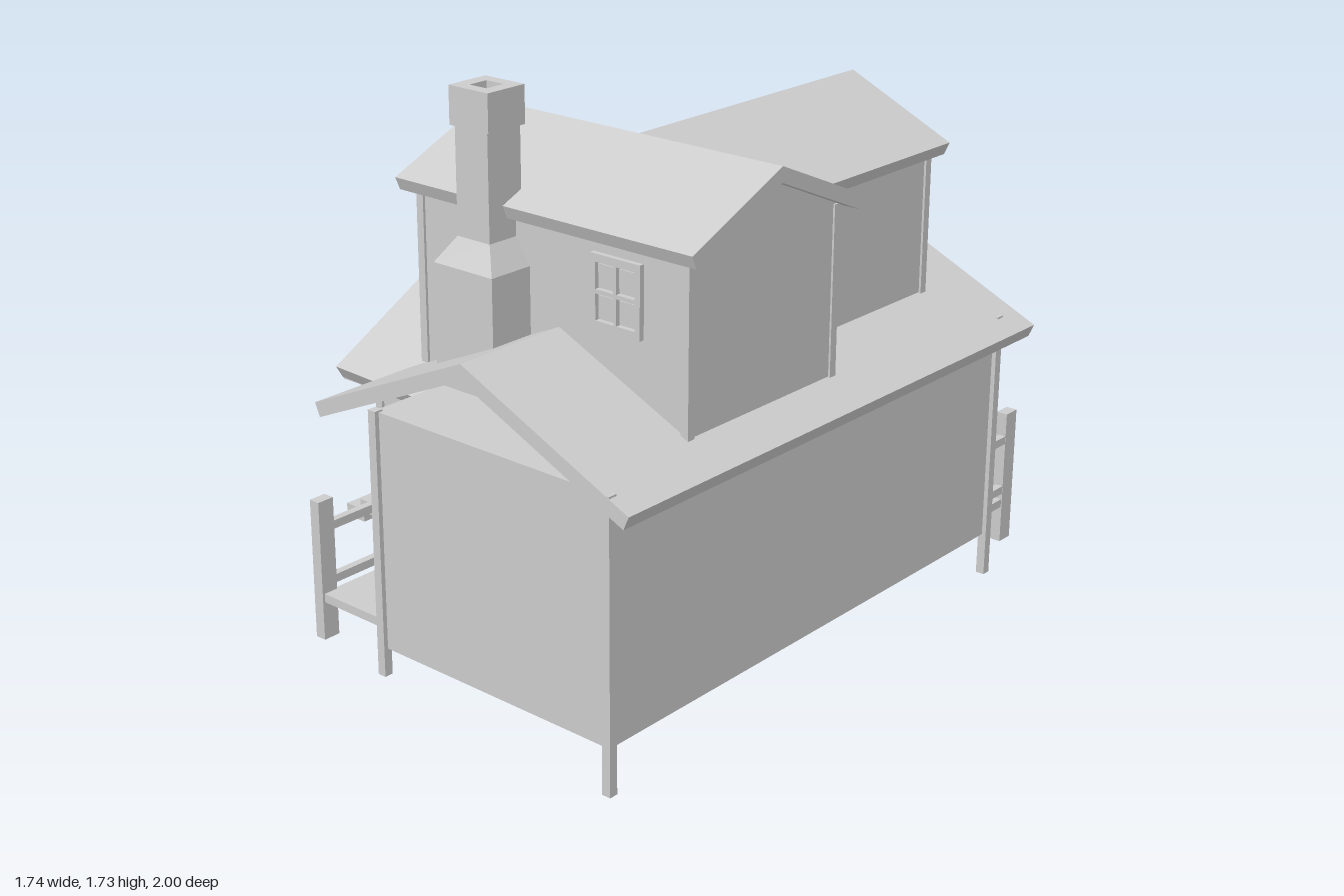
import * as THREE from 'three';

const mat = new THREE.MeshStandardMaterial({ color: 0xcccccc, flatShading: true, side: THREE.DoubleSide });

function add(parent, name, geometry) {
  const m = new THREE.Mesh(geometry, mat);
  m.name = name;
  parent.add(m);
  return m;
}

// Box given by its limits on each axis
function box(parent, name, x0, x1, y0, y1, z0, z1) {
  const m = add(parent, name, new THREE.BoxGeometry(x1 - x0, y1 - y0, z1 - z0));
  m.position.set((x0 + x1) / 2, (y0 + y1) / 2, (z0 + z1) / 2);
  return m;
}

function extrude(points, depth) {
  const shape = new THREE.Shape(points.map(([x, y]) => new THREE.Vector2(x, y)));
  return new THREE.ExtrudeGeometry(shape, { depth, bevelEnabled: false });
}

// Bent roof slab: ridge along local z, ridge top at the local origin
function gableRoof(parent, name, halfWidth, drop, thick, length) {
  const a = Math.atan2(drop, halfWidth);
  const ex = halfWidth - thick * Math.sin(a);
  const ey = -drop - thick * Math.cos(a);
  return add(parent, name, extrude([
    [0, 0], [-halfWidth, -drop], [-ex, ey], [0, -thick / Math.cos(a)], [ex, ey], [halfWidth, -drop],
  ], length));
}

// Wall block with a pointed gable at both ends, along local z
function gableWalls(parent, name, halfWidth, bottom, eave, apex, length) {
  return add(parent, name, extrude([
    [-halfWidth, bottom], [halfWidth, bottom], [halfWidth, eave], [0, apex], [-halfWidth, eave],
  ], length));
}

function rectPath(x, y, w, h) {
  const p = new THREE.Path();
  p.moveTo(x - w / 2, y - h / 2);
  p.lineTo(x - w / 2, y + h / 2);
  p.lineTo(x + w / 2, y + h / 2);
  p.lineTo(x + w / 2, y - h / 2);
  p.closePath();
  return p;
}

// Four-pane window facing local +z
function addWindow(parent, x, y, z, turn) {
  const g = new THREE.Group();
  g.name = 'window';
  const w = 0.175, h = 0.21;
  const frame = new THREE.Shape([
    new THREE.Vector2(-w / 2, -h / 2), new THREE.Vector2(w / 2, -h / 2),
    new THREE.Vector2(w / 2, h / 2), new THREE.Vector2(-w / 2, h / 2),
  ]);
  for (const i of [-1, 1]) for (const j of [-1, 1]) {
    frame.holes.push(rectPath(i * 0.037, j * 0.044, 0.064, 0.076));
    box(g, 'windowPane', i * 0.037 - 0.027, i * 0.037 + 0.027, j * 0.044 - 0.033, j * 0.044 + 0.033, -0.005, 0.009);
  }
  add(g, 'windowFrame', new THREE.ExtrudeGeometry(frame, { depth: 0.016, bevelEnabled: false }));
  g.position.set(x, y, z);
  g.rotation.y = turn;
  parent.add(g);
}

function lowerStorey(g) {
  box(g, 'lowerWalls', -0.075, 0.785, 0.135, 0.855, -0.785, 0.985);
  gableRoof(g, 'lowerRoof', 0.583, 0.26, 0.044, 1.87).position.set(0.282, 1.085, -0.87);
  // corner posts run down as stilts
  for (const [x, z, foot] of [[-0.07, 0.985, 0.05], [0.785, 0.985, 0], [-0.07, -0.782, 0.04], [0.785, -0.782, 0]])
    box(g, 'cornerPost', x - 0.014, x + 0.014, foot, 0.86, z - 0.014, z + 0.014);
  for (const x of [0.097, 0.487]) addWindow(g, x, 0.515, -0.785, Math.PI);
  for (const z of [-0.58, -0.235]) addWindow(g, -0.075, 0.505, z, -Math.PI / 2);
}

function upperStorey(g) {
  // cross block, ridge along x
  const walls = gableWalls(g, 'upperWalls', 0.315, 0.85, 1.385, 1.519, 0.99);
  walls.rotation.y = Math.PI / 2;
  walls.position.set(-0.25, 0, 0.308);
  const roof = gableRoof(g, 'upperRoof', 0.365, 0.158, 0.042, 1.085);
  roof.rotation.y = Math.PI / 2;
  roof.position.set(-0.295, 1.565, 0.308);
  for (const x of [-0.243, 0.733]) for (const z of [0.0, 0.618])
    box(g, 'upperPost', x - 0.013, x + 0.013, 0.855, 1.385, z - 0.013, z + 0.013);

  // rear wing, ridge along z
  gableWalls(g, 'wingWalls', 0.32, 0.85, 1.37, 1.516, 0.8).position.set(0.29, 0, -0.632);
  gableRoof(g, 'wingRoof', 0.36, 0.165, 0.042, 0.99).position.set(0.288, 1.563, -0.687);
  for (const x of [-0.024, 0.604])
    box(g, 'wingPost', x - 0.013, x + 0.013, 0.855, 1.375, -0.641, -0.615);

  addWindow(g, 0.498, 1.225, 0.623, 0);
  addWindow(g, 0.295, 1.225, -0.632, Math.PI);
  addWindow(g, -0.03, 1.225, -0.27, -Math.PI / 2);
  addWindow(g, -0.25, 1.225, 0.3, -Math.PI / 2);
}

function chimney(g) {
  const zBack = 0.6;
  box(g, 'chimneyBase', -0.047, 0.175, 0.88, 1.235, zBack, 0.77);
  // sloped shoulder: a box whose top corners are pulled in
  const geo = new THREE.BoxGeometry(1, 1, 1);
  const p = geo.attributes.position;
  for (let i = 0; i < p.count; i++) {
    const top = p.getY(i) > 0;
    const right = p.getX(i) > 0, front = p.getZ(i) > 0;
    p.setXYZ(i, right ? (top ? 0.125 : 0.175) : (top ? 0.003 : -0.047),
      top ? 1.31 : 1.235, front ? (top ? 0.725 : 0.77) : zBack);
  }
  geo.computeVertexNormals();
  add(g, 'chimneyShoulder', geo);
  box(g, 'chimneyShaft', 0.003, 0.125, 1.31, 1.64, zBack, 0.725);
  // hollow cap
  const cap = new THREE.Shape([
    new THREE.Vector2(-0.073, -0.07), new THREE.Vector2(0.073, -0.07),
    new THREE.Vector2(0.073, 0.07), new THREE.Vector2(-0.073, 0.07),
  ]);
  cap.holes.push(rectPath(0, 0, 0.064, 0.064));
  const m = add(g, 'chimneyCap', new THREE.ExtrudeGeometry(cap, { depth: 0.11, bevelEnabled: false }));
  m.rotation.x = -Math.PI / 2;
  m.position.set(0.063, 1.62, 0.662);
}

function entrance(g) {
  box(g, 'entranceWalls', -0.49, -0.08, 0.155, 0.74, -0.07, 0.585);
  box(g, 'entranceEavePlate', -0.555, -0.2, 0.735, 0.757, -0.14, 0.67);
  // slightly askew roof, ridge along x
  const roof = gableRoof(g, 'entranceRoof', 0.43, 0.255, 0.045, 0.44);
  roof.rotation.y = Math.PI / 2 - 0.055;
  roof.position.set(-0.533, 1.035, 0.267);
  for (const z of [-0.07, 0.58])
    box(g, 'entrancePost', -0.502, -0.475, 0.045, 0.75, z - 0.014, z + 0.014);
  addWindow(g, -0.49, 0.545, 0.22, -Math.PI / 2);

  // floating treads, widening toward the ground
  const treads = [[-0.59, -0.49, 0.267], [-0.67, -0.585, 0.235], [-0.745, -0.655, 0.205], [-0.81, -0.715, 0.178], [-0.87, -0.79, 0.147]];
  treads.forEach(([x0, x1, top], i) => {
    box(g, 'stairTread', x0, x1, top - 0.042, top, 0.085 - i * 0.006, 0.39 + i * 0.004);
  });
}

function porch(g) {
  // deck around the back and the stair side
  box(g, 'deckBack', -0.385, 0.74, 0.155, 0.182, -0.985, -0.78);
  box(g, 'deckSide', -0.385, -0.07, 0.155, 0.182, -0.78, 0.935);
  // railing posts
  for (const [x, z] of [[-0.395, -0.955], [-0.395, 0.915], [0.725, -0.972]])
    box(g, 'railingPost', x - 0.018, x + 0.018, 0.035, 0.475, z - 0.028, z + 0.028);
  // paired rails
  for (const y of [0.215, 0.387]) {
    box(g, 'rail', -0.402, -0.378, y - 0.013, y + 0.013, -0.95, -0.06);
    box(g, 'rail', -0.402, -0.378, y - 0.013, y + 0.013, 0.57, 0.91);
    box(g, 'rail', 0.718, 0.742, y - 0.013, y + 0.013, -0.97, -0.78);
  }
}

export function createModel() {
  const house = new THREE.Group();
  house.name = 'house';
  const parts = { lowerStorey, upperStorey, chimney, entrance, porch };
  for (const [name, build] of Object.entries(parts)) {
    const g = new THREE.Group();
    g.name = name;
    build(g);
    house.add(g);
  }
  return house;
}
